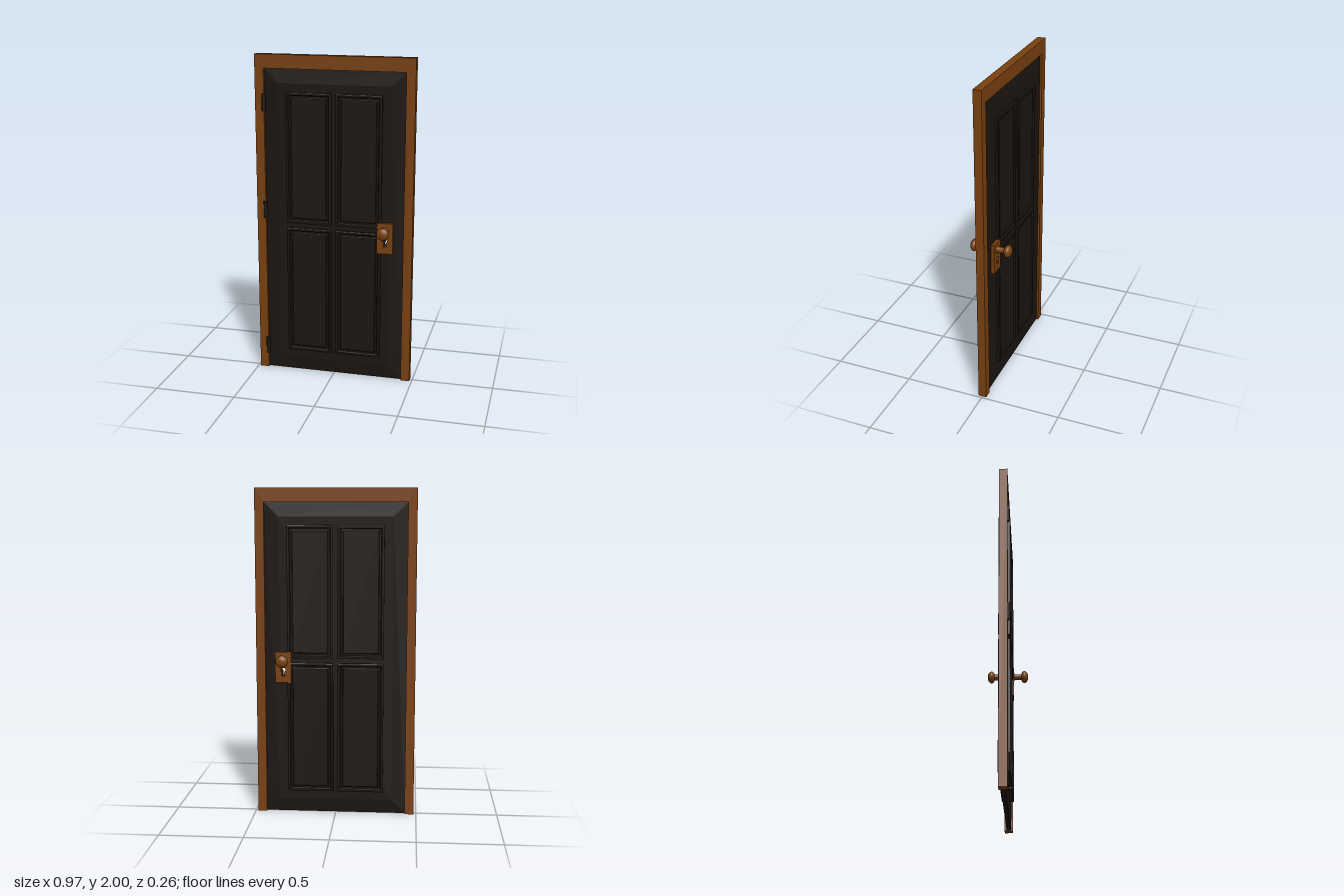
import * as THREE from 'three';

const brown = new THREE.MeshStandardMaterial({ color: 0x78400f });
const dark = new THREE.MeshStandardMaterial({ color: 0x1c1510 });

const KNOB_X = 0.319;

function add(parent, name, geometry, material, x = 0, y = 0, z = 0) {
  const mesh = new THREE.Mesh(geometry, material);
  mesh.name = name;
  mesh.position.set(x, y, z);
  parent.add(mesh);
  return mesh;
}

function rectShape(x0, x1, y0, y1) {
  return new THREE.Shape([[x0, y0], [x1, y0], [x1, y1], [x0, y1]].map(p => new THREE.Vector2(...p)));
}

// Round top with a flared slot below
function keyhole(x) {
  const path = new THREE.Path();
  path.moveTo(x - 0.011, 0.866);
  path.lineTo(x + 0.011, 0.866);
  path.lineTo(x + 0.006, 0.888);
  path.absarc(x, 0.902, 0.0152, -1.165, Math.PI + 1.165, false);
  path.closePath();
  return path;
}

// Mitred rectangular moulding: profile is a list of [inset, z], outside to inside
function mitred(x0, x1, y0, y1, profile, fill) {
  const rings = profile.map(([i, z]) => [
    [x0 + i, y0 + i, z], [x1 - i, y0 + i, z], [x1 - i, y1 - i, z], [x0 + i, y1 - i, z],
  ]);
  const pos = [];
  const quad = (a, b, c, d) => pos.push(...a, ...b, ...c, ...a, ...c, ...d);
  for (let r = 0; r < rings.length - 1; r++) {
    for (let k = 0; k < 4; k++) {
      const n = (k + 1) % 4;
      quad(rings[r][k], rings[r][n], rings[r + 1][n], rings[r + 1][k]);
    }
  }
  if (fill) quad(...rings[rings.length - 1]);
  const geometry = new THREE.BufferGeometry();
  geometry.setAttribute('position', new THREE.Float32BufferAttribute(pos, 3));
  geometry.computeVertexNormals();
  return geometry;
}

export function createModel() {
  const model = new THREE.Group();
  model.name = 'door';

  // Frame: two jambs and a head in one piece, open at the bottom
  const outline = new THREE.Shape([
    [-0.485, 0], [-0.43, 0], [-0.43, 1.917], [0.43, 1.917],
    [0.43, 0], [0.485, 0], [0.485, 2], [-0.485, 2],
  ].map(p => new THREE.Vector2(...p)));
  add(model, 'doorFrame', new THREE.ExtrudeGeometry(outline, { depth: 0.05, bevelEnabled: false }), brown, 0, 0, -0.025);

  // Door core, pierced by the keyhole
  const core = rectShape(-0.345, 0.345, 0.088, 1.832);
  core.holes.push(keyhole(KNOB_X));
  add(model, 'doorCore', new THREE.ExtrudeGeometry(core, { depth: 0.04, bevelEnabled: false, curveSegments: 20 }), dark, 0, 0, -0.02);

  // Knob and rosette profile, turned about its axis
  const knobProfile = [[0.024, 0.036], [0.024, 0.041], [0.018, 0.044], [0.018, 0.086]]
    .map(p => new THREE.Vector2(...p));
  for (let i = 0; i <= 14; i++) {
    const a = -0.9 + (Math.PI / 2 + 0.9) * i / 14;
    knobProfile.push(new THREE.Vector2(Math.max(0, 0.038 * Math.cos(a)), 0.105 + 0.024 * Math.sin(a)));
  }
  const knobGeometry = new THREE.LatheGeometry(knobProfile, 32).rotateX(Math.PI / 2);

  // Both faces carry the same parts; the back is turned around
  for (const s of [1, -1]) {
    const face = new THREE.Group();
    face.name = s > 0 ? 'frontFace' : 'backFace';
    face.rotation.y = s > 0 ? 0 : Math.PI;
    model.add(face);

    // Sloping border around the leaf
    add(face, 'doorBorder', mitred(-0.43, 0.43, 0.003, 1.917, [[0, 0], [0, 0.012], [0.085, 0.02]], false), dark);

    // Four moulded panels
    const moulding = [[0, 0.018], [0, 0.034], [0.004, 0.036], [0.014, 0.036], [0.02, 0.027], [0.03, 0.027], [0.034, 0.03]];
    for (const [x0, x1] of [[-0.293, -0.014], [0.014, 0.293]]) {
      for (const [y0, y1] of [[0.14, 0.947], [0.977, 1.78]]) {
        add(face, 'panel', mitred(x0, x1, y0, y1, moulding, true), dark);
      }
    }

    // Lock plate with keyhole, and knob
    const x = s * KNOB_X;
    const plate = rectShape(x - 0.049, x + 0.049, 0.825, 1.015);
    plate.holes.push(keyhole(x));
    add(face, 'lockPlate', new THREE.ExtrudeGeometry(plate, { depth: 0.02, bevelEnabled: false, curveSegments: 20 }), brown, 0, 0, 0.018);
    add(face, 'knob', knobGeometry, brown, x, 0.967, 0);
  }

  // Hinge barrels on the front
  for (const y of [0.152, 1.052, 1.712]) {
    add(model, 'hinge', new THREE.CylinderGeometry(0.012, 0.012, 0.106, 20), dark, -0.432, y, 0.023);
  }
  return model;
}
